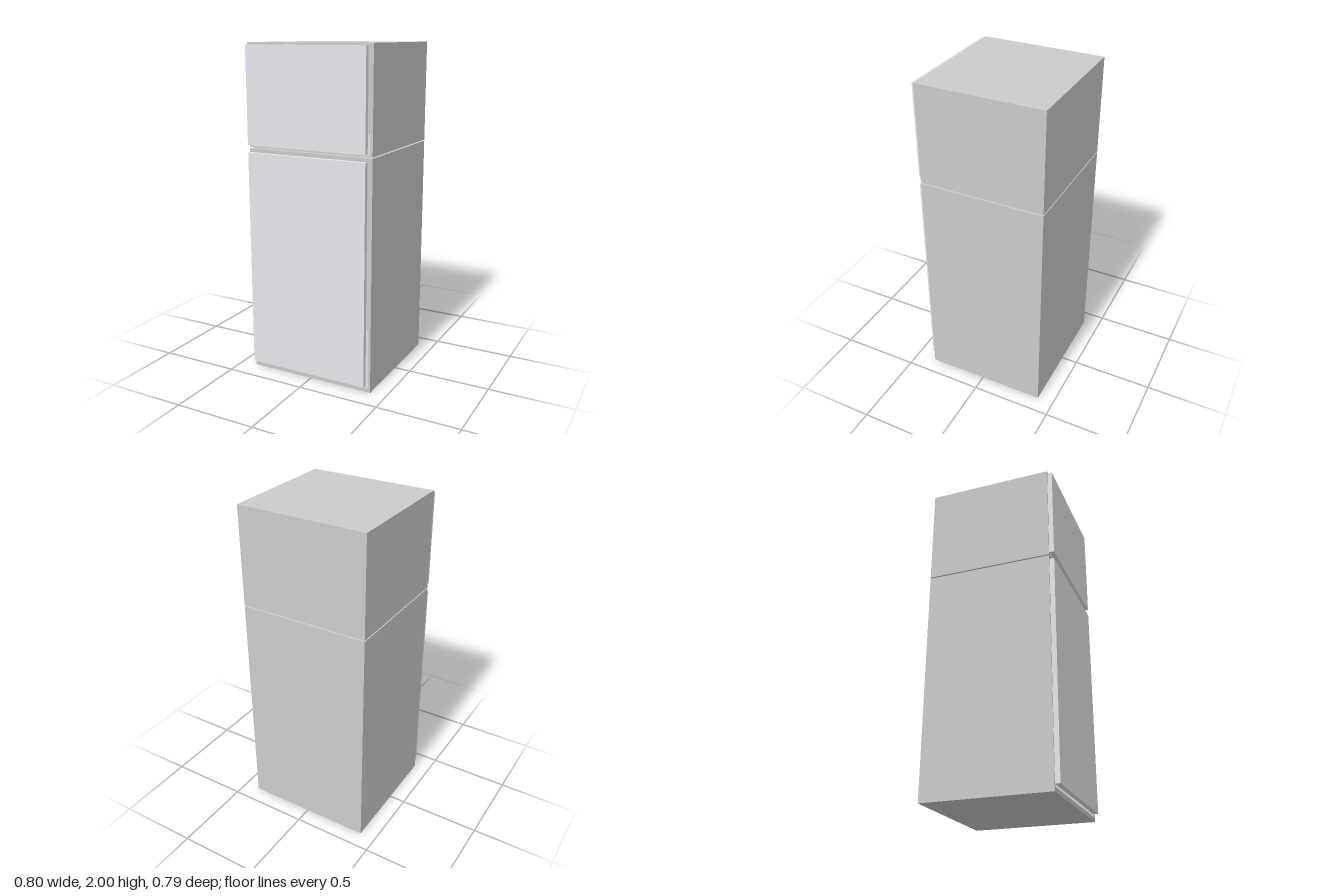
import * as THREE from 'three';

const shellMat = new THREE.MeshStandardMaterial({ color: 0xcccccc });
const doorMat = new THREE.MeshStandardMaterial({ color: 0xe6e7ea });

const BACK = -0.397, FRONT = 0.368, DOOR_FRONT = 0.397, PANEL = 0.015;

function rect(path, x0, x1, y0, y1) {
  path.moveTo(x0, y0);
  path.lineTo(x1, y0);
  path.lineTo(x1, y1);
  path.lineTo(x0, y1);
  path.closePath();
  return path;
}

function box(name, mat, x0, x1, y0, y1, z0, z1) {
  const mesh = new THREE.Mesh(new THREE.BoxGeometry(x1 - x0, y1 - y0, z1 - z0), mat);
  mesh.position.set((x0 + x1) / 2, (y0 + y1) / 2, (z0 + z1) / 2);
  mesh.name = name;
  return mesh;
}

// One open-fronted cabinet with a slab door set slightly off its opening
function compartment({ name, bottom, top, hollow, door }) {
  const group = new THREE.Group();
  group.name = name;

  const outline = rect(new THREE.Shape(), -0.4, 0.4, bottom, top);
  outline.holes.push(rect(new THREE.Path(), -0.385, 0.385, ...hollow));
  const walls = new THREE.Mesh(
    new THREE.ExtrudeGeometry(outline, { depth: FRONT - BACK, bevelEnabled: false }), shellMat);
  walls.position.z = BACK;
  walls.name = name + 'Walls';

  group.add(
    walls,
    box(name + 'BackPanel', shellMat, -0.385, 0.385, ...hollow, BACK, BACK + PANEL),
    box(name + 'Door', doorMat, -0.394, 0.37, ...door, FRONT, DOOR_FRONT));
  return group;
}

export function createModel() {
  const model = new THREE.Group();
  model.name = 'refrigerator';
  model.add(
    compartment({ name: 'fridge', bottom: 0, top: 1.389, hollow: [0.025, 1.36], door: [0.04, 1.367] }),
    compartment({ name: 'freezer', bottom: 1.396, top: 2, hollow: [1.404, 1.98], door: [1.412, 1.987] }));
  return model;
}
